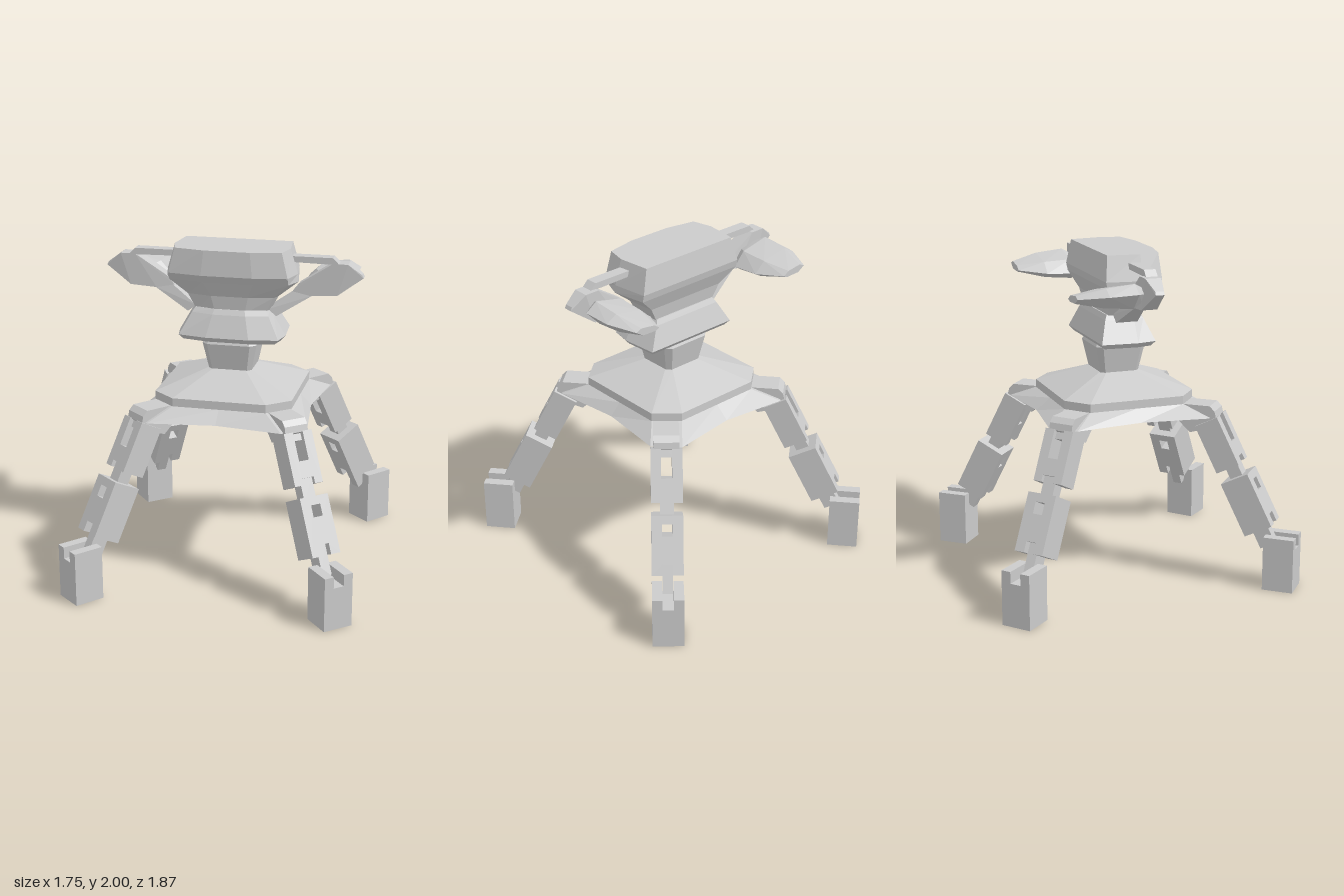
import * as THREE from 'three';
import { ConvexGeometry } from 'three/addons/geometries/ConvexGeometry.js';

const material = new THREE.MeshStandardMaterial({ color: 0xcccccc, flatShading: true });

function add(parent, name, geometry, x = 0, y = 0, z = 0) {
  const mesh = new THREE.Mesh(geometry, material);
  mesh.name = name;
  mesh.position.set(x, y, z);
  parent.add(mesh);
  return mesh;
}

const box = (w, h, d) => new THREE.BoxGeometry(w, h, d);
const hull = (points) => new ConvexGeometry(points.map((p) => new THREE.Vector3(...p)));
const path = (points) => points.map((p) => new THREE.Vector2(...p));

// Extrudes an outline along z, ending at z = 0
function plate(points, depth, hole) {
  const shape = new THREE.Shape(path(points));
  if (hole) shape.holes.push(new THREE.Path(path(hole)));
  return new THREE.ExtrudeGeometry(shape, { depth, bevelEnabled: false }).translate(0, 0, -depth);
}

// Full ring from its +x half, listed front to back as [x, z]
function ring(y, half) {
  const other = half.filter((p) => p[0] > 0).reverse().map(([x, z]) => [-x, z]);
  return [...half, ...other].map(([x, z]) => [x, y, z]);
}

// Closed solid through rings listed from bottom to top
function loft(rings) {
  const n = rings[0].length, positions = [], index = [];
  rings.forEach((r) => r.forEach((p) => positions.push(...p)));
  const base = rings.length * n;
  positions.push(0, rings[0][0][1], 0, 0, rings.at(-1)[0][1], 0);
  for (let i = 0; i < n; i++) {
    const j = (i + 1) % n;
    for (let k = 0; k < rings.length - 1; k++) {
      const a = k * n, b = a + n;
      index.push(a + i, a + j, b + j, a + i, b + j, b + i);
    }
    index.push(base, j, i, base + 1, base - n + i, base - n + j);
  }
  const g = new THREE.BufferGeometry();
  g.setAttribute('position', new THREE.Float32BufferAttribute(positions, 3));
  g.setIndex(index);
  const flat = g.toNonIndexed();
  flat.computeVertexNormals();
  return flat;
}

// Rectangle with cut corners
const octagon = (y, x, z, cx, cz = cx) =>
  ring(y, [[x - cx, z], [x, z - cz], [x, cz - z], [x - cx, -z]]);

function createLeg() {
  const leg = new THREE.Group();
  leg.name = 'leg';
  const W = 0.092;

  // Hinge block under the platform corner
  const hip = plate([[-0.24, 1.03], [-0.13, 0.93], [-0.06, 0.95], [0.03, 1.03], [0.02, 1.07],
    [-0.01, 1.1], [-0.24, 1.1]], 0.15);
  add(leg, 'hip', hip.translate(0, 0, 0.075).rotateY(-Math.PI / 2));

  // Slanted thigh and shin with slots
  const limb = new THREE.Group();
  limb.name = 'limb';
  limb.position.set(0, 1.04, 0.04);
  limb.rotation.x = -0.465;
  leg.add(limb);
  add(limb, 'thigh', plate([[-W, 0], [-W, -0.31], [-0.04, -0.31], [-0.04, -0.27], [0.04, -0.27],
    [0.04, -0.31], [W, -0.31], [W, 0], [0.032, 0], [0.032, -0.17], [-0.032, -0.17], [-0.032, 0]], 0.15));
  add(limb, 'hipTongue', box(0.064, 0.1, 0.1), 0, 0.0, -0.08);
  add(limb, 'knee', box(0.08, 0.14, 0.08), 0, -0.335, -0.065);
  add(limb, 'shin', plate([[-W, -0.38], [-W, -0.725], [-0.03, -0.725], [-0.03, -0.66], [0.03, -0.66],
    [0.03, -0.725], [W, -0.725], [W, -0.38]], 0.18,
  [[-0.03, -0.43], [0.03, -0.43], [0.03, -0.5], [-0.03, -0.5]]), 0, 0, 0.025);
  add(limb, 'ankle', box(0.06, 0.19, 0.1), 0, -0.745, -0.07);

  // Notched foot block
  add(leg, 'foot', plate([[-W, 0], [W, 0], [W, 0.33], [0.033, 0.33], [0.033, 0.26],
    [-0.033, 0.26], [-0.033, 0.33], [-W, 0.33]], 0.185), 0, 0, 0.525);
  return leg;
}

function createArm() {
  const arm = new THREE.Group();
  arm.name = 'arm';

  // Upper bar from the torso
  add(arm, 'upperBar', hull([-0.035, 0.035].flatMap((z) =>
    [[0.34, 1.955, z], [0.6, 1.955, z], [0.64, 1.915, z], [0.34, 1.92, z]])));

  // Diagonal strut, wide at the waist
  add(arm, 'strut', hull([
    [0.22, 1.63, 0.055], [0.22, 1.63, -0.08], [0.27, 1.59, 0.055], [0.27, 1.59, -0.08],
    [0.37, 1.74, 0.025], [0.37, 1.74, -0.035], [0.48, 1.72, 0.025], [0.48, 1.72, -0.035]]));

  // Blade at the shoulder, tapering to its tip
  add(arm, 'blade', hull([0.035, -0.06].flatMap((z) => [
    [0.36, 1.74, z * 0.7], [0.47, 1.72, z], [0.63, 1.73, z], [0.78, 1.84, z * 0.55],
    [0.77, 1.86, z * 0.55], [0.69, 1.92, z], [0.6, 1.92, z], [0.4, 1.79, z * 0.7]])));

  // Faceted pod pointing backward
  const section = [[0.73, 1.84], [0.66, 1.89], [0.48, 1.85], [0.41, 1.77], [0.46, 1.735], [0.64, 1.745]];
  const stations = [[-0.05, 0.55, 0.6], [-0.11, 1, 1], [-0.28, 0.97, 0.8], [-0.445, 0.52, 0.32]];
  add(arm, 'pod', hull(stations.flatMap(([z, sx, sy]) => section.map(([x, y]) =>
    [0.57 + (x - 0.57) * sx, 1.81 + (y - 1.81) * sy, z]))));
  return arm;
}

export function createModel() {
  const model = new THREE.Group();
  model.name = 'walker';

  // Platform with flared skirt
  add(model, 'skirt', loft([
    ring(1.03, [[0, 0.49], [0.4, 0.54], [0.53, 0.41], [0.48, 0], [0.53, -0.41], [0.4, -0.54], [0, -0.49]]),
    ring(1.1, [[0, 0.405], [0.28, 0.405], [0.415, 0.29], [0.415, 0], [0.415, -0.29], [0.28, -0.405], [0, -0.405]])]));
  add(model, 'platform', loft([
    octagon(1.1, 0.415, 0.405, 0.135, 0.115),
    octagon(1.15, 0.415, 0.405, 0.135, 0.115),
    octagon(1.26, 0.13, 0.12, 0.03)]));
  add(model, 'neck', loft([octagon(1.25, 0.13, 0.12, 0.025), octagon(1.42, 0.165, 0.155, 0.035),
    octagon(1.45, 0.15, 0.14, 0.035)]));

  // Hull in two stacked solids; each ring: half-width, front, back
  const bodyRing = (y, x, front, back, mid = x) => ring(y, [
    [x * 0.4, front], [x * 0.93, front - 0.035], [mid, 0.04], [x * 0.95, back]]);
  add(model, 'pelvis', loft([
    bodyRing(1.44, 0.3, 0.17, -0.155),
    bodyRing(1.47, 0.325, 0.193, -0.18),
    bodyRing(1.6, 0.25, 0.14, -0.135),
    bodyRing(1.63, 0.23, 0.12, -0.12)]));
  add(model, 'torso', loft([
    bodyRing(1.61, 0.225, 0.115, -0.11),
    bodyRing(1.71, 0.28, 0.125, -0.125),
    bodyRing(1.805, 0.385, 0.18, -0.165, 0.4),
    bodyRing(1.85, 0.385, 0.208, -0.175, 0.395),
    bodyRing(2.0, 0.345, 0.197, -0.155, 0.35)]));

  // Mirrored arms and legs
  for (const sx of [1, -1]) {
    const side = sx > 0 ? 'left' : 'right';
    const arm = createArm();
    arm.name = side + 'Arm';
    arm.scale.x = sx;
    model.add(arm);
    for (const sz of [1, -1]) {
      const corner = new THREE.Group();
      corner.name = side + (sz > 0 ? 'FrontLeg' : 'BackLeg');
      corner.scale.set(sx, 1, sz);
      const leg = createLeg();
      leg.position.set(0.465, 0, 0.475);
      leg.rotation.y = Math.atan2(0.65, 0.76);
      corner.add(leg);
      model.add(corner);
    }
  }
  return model;
}
